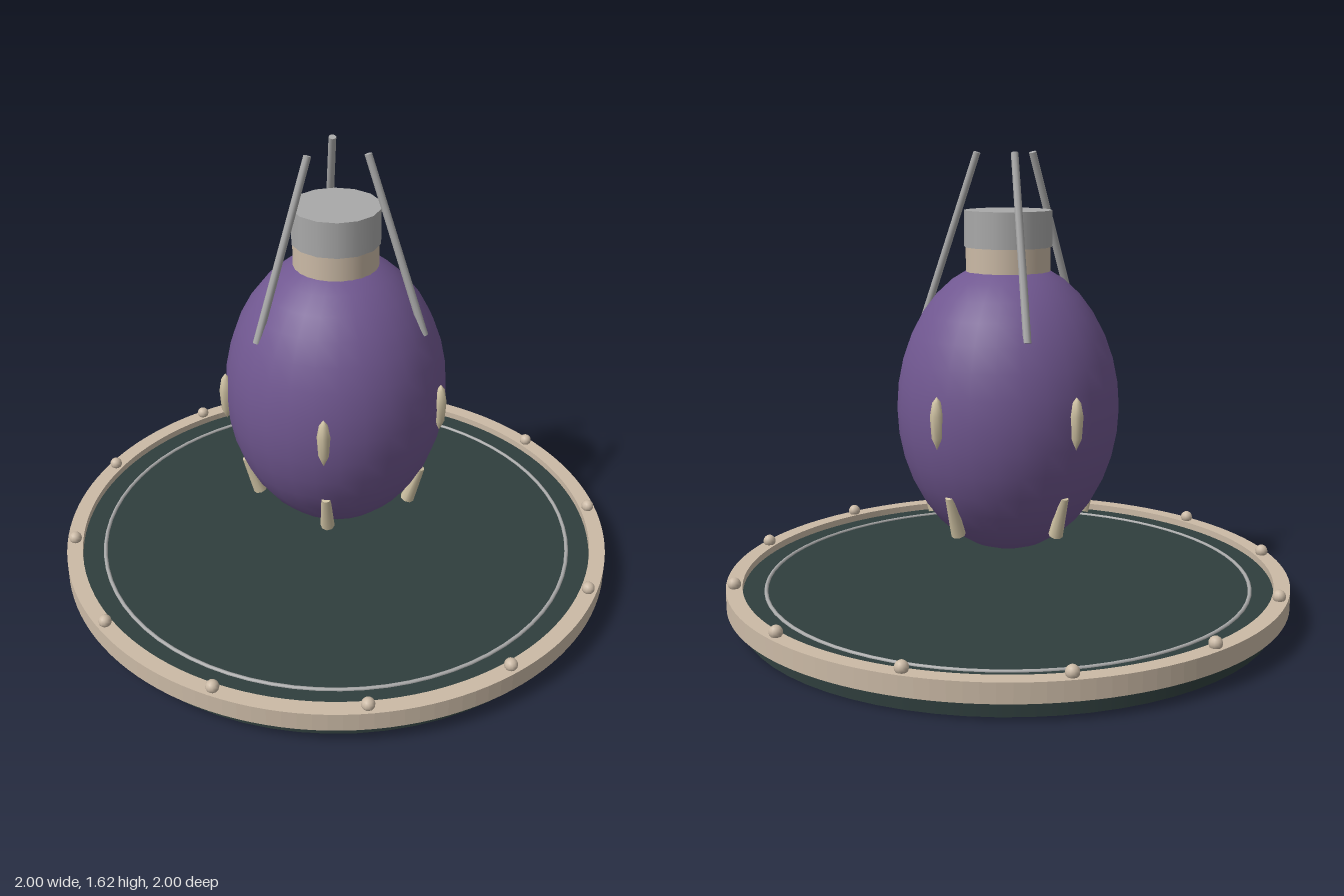
import * as THREE from 'three';

const mat = (name, color, side = THREE.FrontSide) => {
  const m = new THREE.MeshStandardMaterial({ color, side });
  m.name = name;
  return m;
};

export function createModel() {
  const root = new THREE.Group();
  root.name = 'eggOnDish';
  const slate = mat('dark slate', 0x2f3e3d);
  const tan = mat('tan', 0xcbbaa6);
  const bone = mat('bone', 0xcfc2a3);
  const purple = mat('purple', 0x705790);
  const metal = mat('grey metal', 0xa9a9a9);

  const add = (name, geometry, material, x = 0, y = 0, z = 0, parent = root) => {
    const mesh = new THREE.Mesh(geometry, material);
    mesh.name = name;
    mesh.position.set(x, y, z);
    parent.add(mesh);
    return mesh;
  };
  const cylinder = (name, rTop, rBottom, y0, y1, sides, material) =>
    add(name, new THREE.CylinderGeometry(rTop, rBottom, y1 - y0, sides), material, 0, (y0 + y1) / 2);
  // Group turned about the vertical axis, so its local +x points outward
  const spoke = (name, i, count) => {
    const g = new THREE.Group();
    g.name = name;
    g.rotation.y = (i / count) * Math.PI * 2;
    root.add(g);
    return g;
  };
  // Tapered rod between two points in a spoke's xy plane
  const rod = (name, [x0, y0], [x1, y1], r0, r1, material, parent) => {
    const dx = x1 - x0, dy = y1 - y0;
    const geo = new THREE.CylinderGeometry(r1, r0, Math.hypot(dx, dy), 8);
    const mesh = add(name, geo, material, (x0 + x1) / 2, (y0 + y1) / 2, 0, parent);
    mesh.rotation.z = -Math.atan2(dx, dy);
  };

  // Dish: dark base, raised rim, inlaid ring
  cylinder('dishBase', 0.95, 0.95, 0, 0.105, 64, slate);
  const rimShape = new THREE.Shape().absarc(0, 0, 1, 0, Math.PI * 2);
  rimShape.holes.push(new THREE.Path().absarc(0, 0, 0.943, 0, Math.PI * 2, true));
  const rim = new THREE.ExtrudeGeometry(rimShape, { depth: 0.067, bevelEnabled: false, curveSegments: 64 });
  rim.rotateX(-Math.PI / 2);
  add('dishRim', rim, tan, 0, 0.063);
  const ring = new THREE.TorusGeometry(0.862, 0.007, 8, 72).rotateX(Math.PI / 2);
  add('inlaidRing', ring, metal, 0, 0.105);

  // Rivets around the rim
  const rivet = new THREE.SphereGeometry(0.023, 12, 8);
  for (let i = 0; i < 12; i++) {
    add('rivet', rivet, tan, 0.97, 0.143, 0, spoke('rivetSpoke', i, 12));
  }

  // Floating egg body with neck and cap
  const egg = new THREE.SphereGeometry(1, 28, 18).scale(0.39, 0.515, 0.39);
  add('eggBody', egg, purple, 0, 0.74);
  cylinder('neck', 0.147, 0.147, 1.18, 1.3, 24, tan);
  cylinder('cap', 0.153, 0.153, 1.3, 1.425, 14, metal);

  // Three leaning prongs
  for (let i = 0; i < 3; i++) {
    rod('prong', [0.325, 1.01], [0.113, 1.62], 0.014, 0.013, metal, spoke('prongSpoke', i, 3));
  }

  // Two rows of five thorns: spindles at the middle, stubs below
  const profile = [[0, -0.09], [0.018, -0.05], [0.023, 0.025], [0.015, 0.07], [0, 0.09]]
    .map(([x, y]) => new THREE.Vector2(x, y));
  const spindle = new THREE.LatheGeometry(profile, 8);
  for (let i = 0; i < 5; i++) {
    const g = spoke('thornSpoke', i, 5);
    add('upperThorn', spindle, bone, 0.392, 0.742, 0, g);
    rod('lowerThorn', [0.282, 0.333], [0.328, 0.475], 0.025, 0.016, bone, g);
  }
  return root;
}
